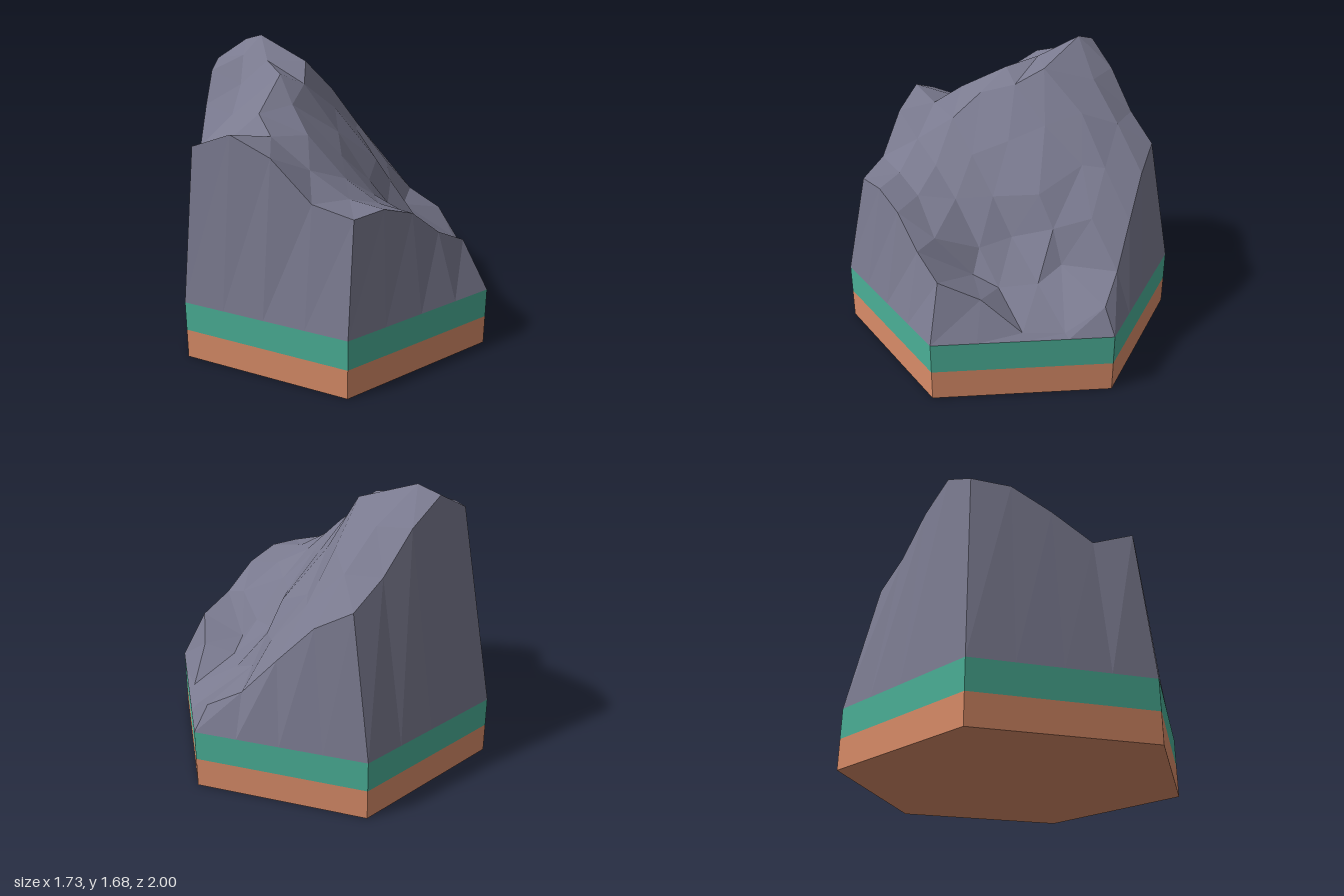
import * as THREE from 'three';

const orange = new THREE.MeshStandardMaterial({ color: 0xd98c68, flatShading: true });
orange.name = 'clay orange';
const green = new THREE.MeshStandardMaterial({ color: 0x4bb097, flatShading: true });
green.name = 'grass green';
const grey = new THREE.MeshStandardMaterial({ color: 0x7a7a8f, flatShading: true });
grey.name = 'rock grey';

const BASE_TOP = 0.35;

// Terrain heights: nine columns from -x to +x, each listed from back to front
const HEIGHTS = [
  [1.54, 1.51, 1.36, 1.18, 1.25],
  [1.64, 1.58, 1.45, 1.33, 1.27, 1.34],
  [1.5, 1.68, 1.57, 1.53, 1.37, 1.29, 1.24],
  [1.28, 1.48, 1.56, 1.46, 1.39, 1.26, 1.13, 1.02],
  [1.14, 1.27, 1.34, 1.27, 1.18, 1.1, 1.04, 1.0, 0.97],
  [1.03, 1.07, 1.08, 0.95, 0.91, 0.9, 0.93, 0.98],
  [0.82, 0.84, 0.78, 0.71, 0.68, 0.78, 0.91],
  [0.6, 0.6, 0.53, 0.51, 0.56, 0.75],
  [0.49, 0.37, 0.38, 0.545, 0.65],
];

// Grid points pushed off their regular place: 'column,row' -> [x, z]
const SHIFTS = {
  '1,3': [-0.57, 0.12], '2,1': [-0.39, -0.45], '2,2': [-0.36, -0.2], '2,3': [-0.29, 0],
  '2,4': [-0.42, 0.27], '3,1': [-0.15, -0.51], '3,2': [-0.13, -0.21], '3,3': [-0.15, -0.04],
  '3,4': [-0.23, 0.16], '5,2': [0.2, -0.4], '5,3': [0.3, -0.14], '6,3': [0.35, 0.02],
  '6,4': [0.41, 0.21], '6,5': [0.46, 0.46], '7,1': [0.5, -0.25], '7,4': [0.5, 0.25],
  '8,1': [0.835, -0.23], '8,2': [0.83, 0.0], '8,3': [0.74, 0.22],
};

// Triangular grid filling the slightly irregular upper hexagon
function terrainColumns() {
  return HEIGHTS.map((column, c) => {
    const i = c - 4, k = Math.abs(i);
    const back = [0.05 + i * (i < 0 ? 0.178 : 0.183), -0.84 + 0.096 * k];
    const front = [0.04 + i * (i < 0 ? 0.205 : 0.17), 0.87 - 0.105 * k];
    return column.map((y, r) => {
      const t = r / (column.length - 1);
      const [x, z] = SHIFTS[`${c},${r}`] ??
        [THREE.MathUtils.lerp(back[0], front[0], t), THREE.MathUtils.lerp(back[1], front[1], t)];
      return new THREE.Vector3(x, y, z);
    });
  });
}

function meshFromTriangles(points, material, name) {
  const geometry = new THREE.BufferGeometry().setFromPoints(points);
  geometry.computeVertexNormals();
  const mesh = new THREE.Mesh(geometry, material);
  mesh.name = name;
  return mesh;
}

// Upper surface of the mountain
function buildSummit(cols) {
  const tris = [];
  for (let c = 0; c < 8; c++) {
    const a = cols[c], b = cols[c + 1];
    if (b.length > a.length) {
      a.forEach((p, j) => {
        tris.push(p, b[j + 1], b[j]);
        if (j + 1 < a.length) tris.push(p, a[j + 1], b[j + 1]);
      });
    } else {
      b.forEach((p, j) => {
        tris.push(a[j], a[j + 1], p);
        if (j + 1 < b.length) tris.push(p, a[j + 1], b[j + 1]);
      });
    }
  }
  return meshFromTriangles(tris, grey, 'mountainTop');
}

// Sloping cliffs joining the hexagonal base to the rim
function buildCliffs(cols) {
  const rim = [
    ...cols.map((col) => col[0]),
    ...cols[8].slice(1),
    ...cols.slice(0, 8).reverse().map((col) => col.at(-1)),
    ...cols[0].slice(1, -1).reverse(),
  ];
  const corner = (n) => {
    const a = (n * Math.PI) / 3 - (5 * Math.PI) / 6;
    return new THREE.Vector3(Math.cos(a), BASE_TOP, Math.sin(a));
  };
  const foot = rim.map((_, n) => {
    const side = Math.floor(n / 4);
    return corner(side).lerp(corner(side + 1), (n % 4) / 4);
  });
  const tris = [];
  rim.forEach((top, n) => {
    const m = (n + 1) % rim.length;
    tris.push(foot[n], top, foot[m], foot[m], top, rim[m]);
  });
  return meshFromTriangles(tris, grey, 'mountainCliffs');
}

// One hexagonal layer of the tile
function buildLayer(y, material, name) {
  const h = BASE_TOP / 2;
  const mesh = new THREE.Mesh(new THREE.CylinderGeometry(1, 1, h, 6), material);
  mesh.position.y = y + h / 2;
  mesh.name = name;
  return mesh;
}

export function createModel() {
  const model = new THREE.Group();
  model.name = 'mountainTile';
  const cols = terrainColumns();
  model.add(
    buildLayer(0, orange, 'soilLayer'),
    buildLayer(BASE_TOP / 2, green, 'grassLayer'),
    buildCliffs(cols),
    buildSummit(cols),
  );
  return model;
}
